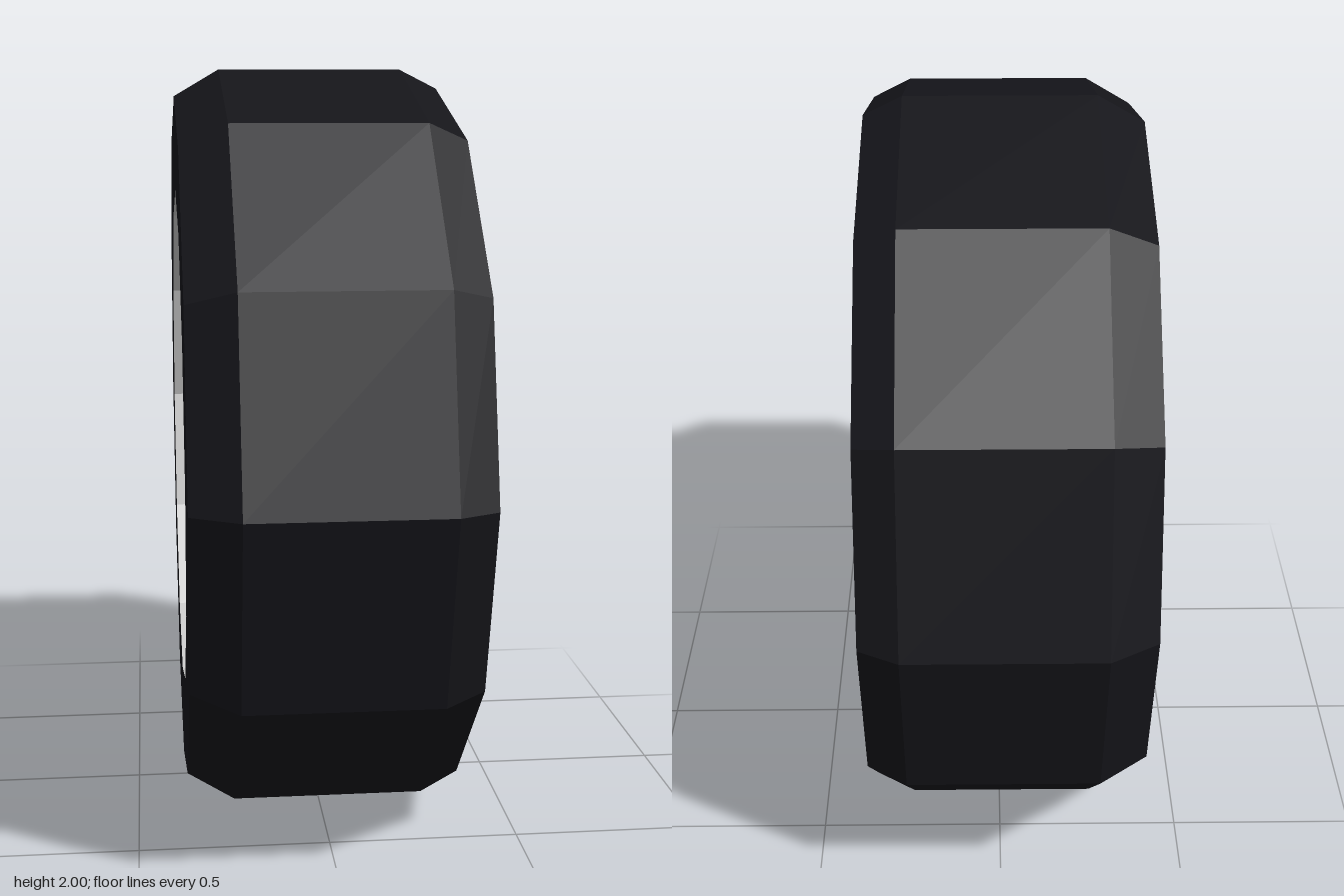
import * as THREE from 'three';

const grey = new THREE.MeshStandardMaterial({ color: 0xcccccc, flatShading: true });
const rubber = new THREE.MeshStandardMaterial({ color: 0x15151a, flatShading: true });
const black = new THREE.MeshStandardMaterial({ color: 0x111114, flatShading: true });

// Revolve a [radius, x] profile around the wheel axis (x)
function ring(profile, sides) {
  const points = profile.map(([r, x]) => new THREE.Vector2(r, x));
  return new THREE.LatheGeometry(points, sides).rotateZ(-Math.PI / 2);
}

// Cylinder along the wheel axis between two x positions
function disc(rBack, rFront, x0, x1, sides) {
  return new THREE.CylinderGeometry(rFront, rBack, x1 - x0, sides)
    .rotateZ(-Math.PI / 2).translate((x0 + x1) / 2, 0, 0);
}

// Forked spoke pointing up, its face sloping back towards the rim
function spokeGeometry() {
  const half = [[0.1, 0.2], [0.075, 0.44], [0.15, 0.74], [0.085, 0.75]];
  const outline = [...half, [0, 0.49], ...half.map(([u, r]) => [-u, r]).reverse()];
  const shape = new THREE.Shape(outline.map(([u, r]) => new THREE.Vector2(u, r)));
  const geo = new THREE.ExtrudeGeometry(shape, { depth: 0.13, bevelEnabled: false });
  const p = geo.attributes.position;
  for (let i = 0; i < p.count; i++) {
    const drop = Math.max(0, p.getY(i) - 0.2) * 0.06;
    p.setZ(i, p.getZ(i) + 0.205 - drop);
  }
  geo.rotateY(Math.PI / 2);
  geo.computeVertexNormals();
  return geo;
}

export function createModel() {
  const model = new THREE.Group();
  model.name = 'wheel';
  const wheel = new THREE.Group();
  wheel.name = 'wheelAssembly';
  wheel.position.y = 1;
  model.add(wheel);

  const add = (name, geometry, material) => {
    const mesh = new THREE.Mesh(geometry, material);
    mesh.name = name;
    wheel.add(mesh);
    return mesh;
  };

  // Tyre and rim barrel
  add('tyre', ring([[0.68, -0.37], [0.93, -0.37], [1, -0.25], [1, 0.24], [0.95, 0.34], [0.79, 0.34]], 12), rubber);
  add('rim', ring([[0.79, 0.34], [0.757, 0.34], [0.75, 0.3], [0.68, 0.1], [0.68, -0.37]], 12), grey);

  // Brake disc and axle behind the spokes
  add('brakeDisc', disc(0.535, 0.535, -0.06, 0, 12), black);
  add('axle', disc(0.15, 0.15, 0, 0.22, 8), black);

  // Eight forked spokes
  const spoke = spokeGeometry();
  for (let i = 0; i < 8; i++) {
    add('spoke', spoke, grey).rotation.x = (i * Math.PI) / 4;
  }

  // Hub with centre cap
  add('hub', disc(0.25, 0.245, 0.2, 0.348, 8), grey);
  add('centreCap', disc(0.11, 0.11, 0.3, 0.352, 8), black);

  // Five wheel nuts
  const nut = disc(0.05, 0.042, 0.33, 0.37, 5);
  for (let i = 0; i < 5; i++) {
    const a = (i * Math.PI * 2) / 5;
    const mesh = add('wheelNut', nut, black);
    mesh.position.set(0, Math.sin(a) * 0.175, Math.cos(a) * 0.175);
    mesh.rotation.x = -a;
  }
  return model;
}
